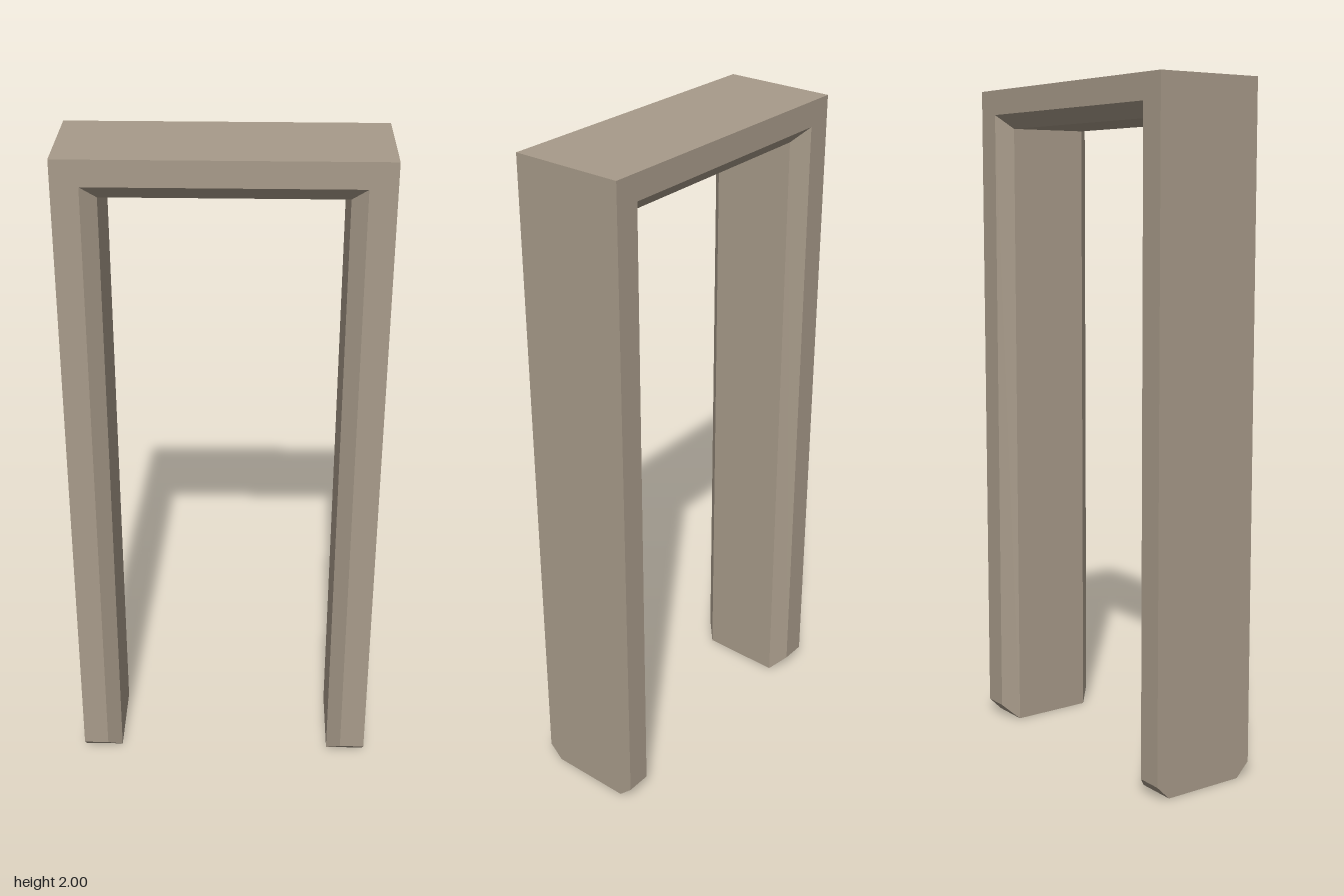
import * as THREE from 'three';

const HALF_W = 0.453, HEIGHT = 2, HALF_D = 0.167;
const OPEN_W = 0.335, OPEN_H = 1.884, BEVEL = 0.042;

// U-shaped outline, counter-clockwise; b widens the opening and lifts the feet
function outline(b) {
  const x = OPEN_W + b, y = OPEN_H + b;
  return [
    [-HALF_W, b], [-x, b], [-x, y], [x, y],
    [x, b], [HALF_W, b], [HALF_W, HEIGHT], [-HALF_W, HEIGHT],
  ].map(([px, py]) => new THREE.Vector2(px, py));
}

// Sections from back to front, bevelled on the inner edges and feet
function frameGeometry() {
  const sections = [
    [-HALF_D, BEVEL], [-HALF_D + BEVEL, 0], [HALF_D - BEVEL, 0], [HALF_D, BEVEL],
  ];
  const positions = [], index = [];
  for (const [z, b] of sections) {
    for (const p of outline(b)) positions.push(p.x, p.y, z);
  }
  const n = outline(0).length;
  for (let s = 0; s < sections.length - 1; s++) {
    for (let i = 0; i < n; i++) {
      const a = s * n + i, c = s * n + (i + 1) % n;
      index.push(a, c, c + n, a, c + n, a + n);
    }
  }
  // Front and back faces
  const front = (sections.length - 1) * n;
  for (const [a, b, c] of THREE.ShapeUtils.triangulateShape(outline(BEVEL), [])) {
    index.push(front + a, front + b, front + c, c, b, a);
  }
  const indexed = new THREE.BufferGeometry();
  indexed.setAttribute('position', new THREE.Float32BufferAttribute(positions, 3));
  indexed.setIndex(index);
  const geometry = indexed.toNonIndexed();
  geometry.computeVertexNormals();
  return geometry;
}

export function createModel() {
  const group = new THREE.Group();
  group.name = 'doorway';
  const material = new THREE.MeshStandardMaterial({ color: 0xa89b8a });
  const frame = new THREE.Mesh(frameGeometry(), material);
  frame.name = 'doorFrame';
  group.add(frame);
  return group;
}
